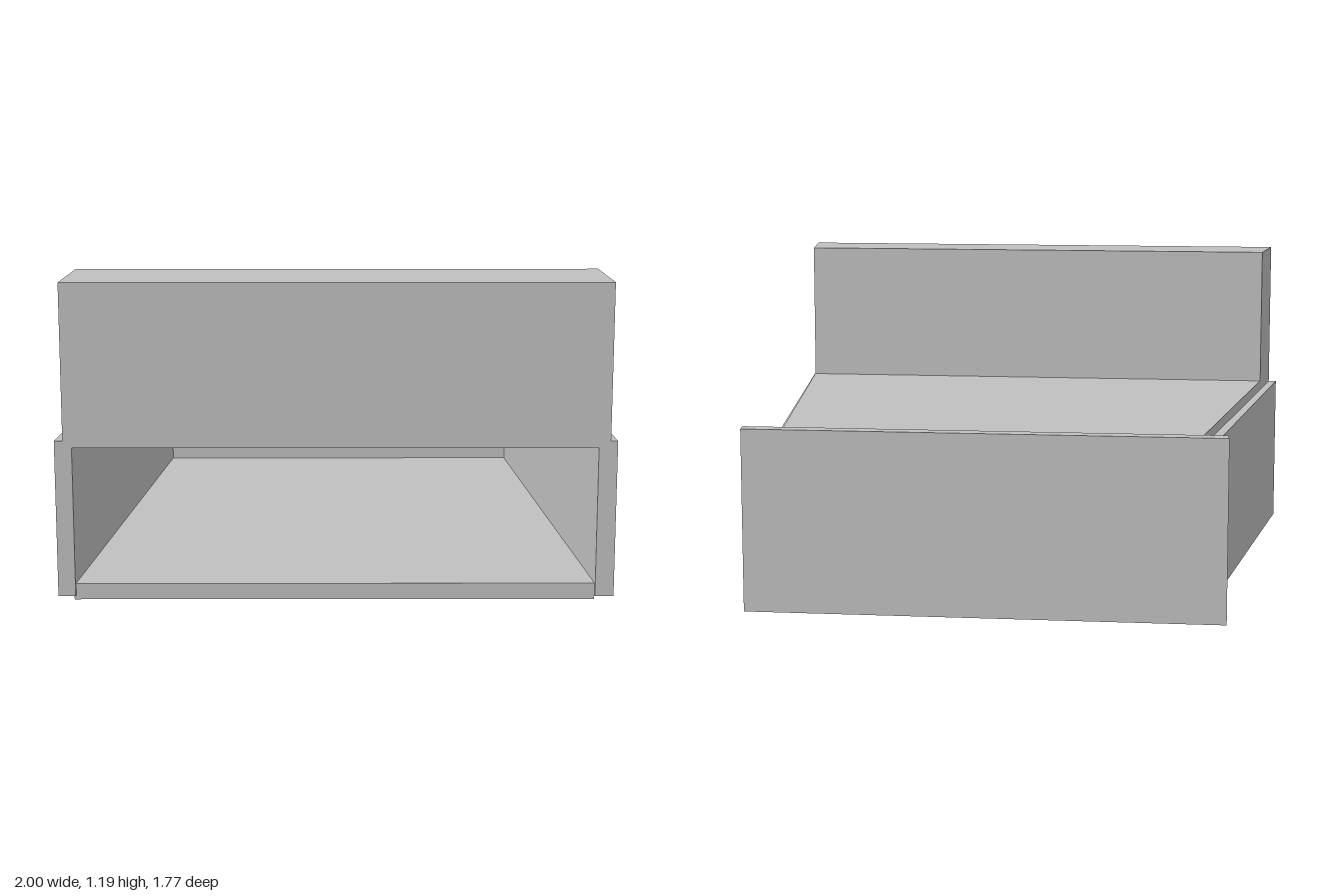
import * as THREE from 'three';

const grey = new THREE.MeshStandardMaterial({ color: 0xc0c0c0 });
grey.name = 'plain grey';

// Upright prism from plan corners [x, z], between heights y0 and y1
function prism(name, corners, y0, y1) {
  const shape = new THREE.Shape(corners.map(([x, z]) => new THREE.Vector2(x, -z)));
  const geometry = new THREE.ExtrudeGeometry(shape, { depth: y1 - y0, bevelEnabled: false });
  geometry.rotateX(-Math.PI / 2);
  geometry.translate(0, y0, 0);
  const mesh = new THREE.Mesh(geometry, grey);
  mesh.name = name;
  return mesh;
}

const FRONT = 0.885, REAR = -0.825;

export function createModel() {
  const group = new THREE.Group();
  group.name = 'taperedCabinet';

  group.add(
    // Splayed side walls
    prism('leftWall', [[1, FRONT], [0.8, REAR], [0.733, REAR], [0.933, FRONT]], 0.04, 0.618),
    prism('rightWall', [[-1, FRONT], [-0.938, FRONT], [-0.703, REAR], [-0.77, REAR]], 0.04, 0.618),
    // Floor, slightly lower than the walls
    prism('floor', [[-0.943, 0.875], [0.932, 0.875], [0.732, REAR], [-0.707, REAR]], 0.025, 0.085),
    // Top slab, let into the walls
    prism('topSlab', [[-0.97, FRONT], [0.975, FRONT], [0.77, REAR], [-0.735, REAR]], 0.593, 0.655),
    // Raised block along the front edge
    prism('raisedBlock', [[-0.97, FRONT], [0.975, FRONT], [0.943, 0.628], [-0.935, 0.628]], 0.65, 1.19),
    // Overhanging rear panel
    prism('rearPanel', [[-0.835, REAR], [0.91, REAR], [0.904, -0.885], [-0.842, -0.885]], 0, 0.672),
  );
  return group;
}
